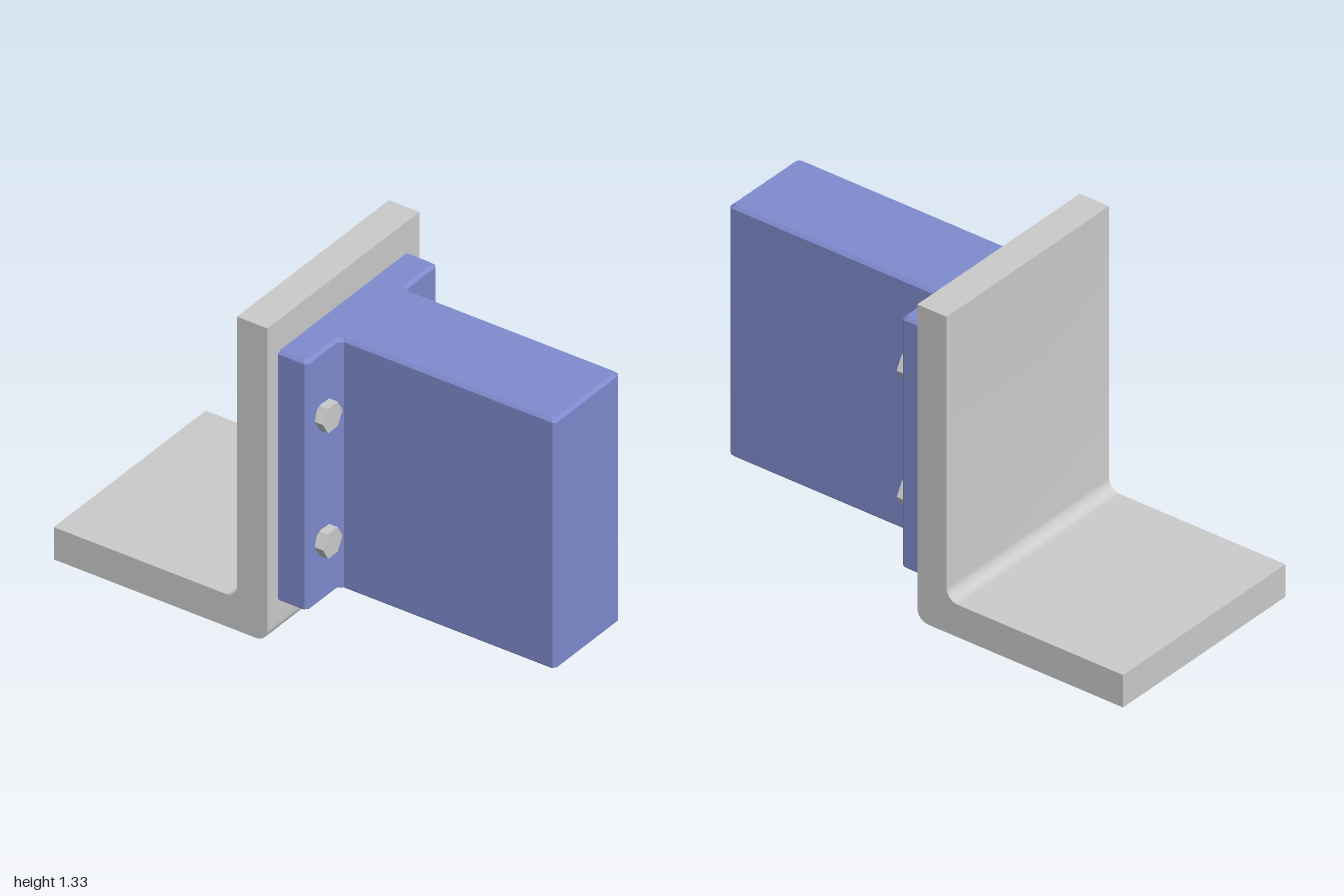
import * as THREE from 'three';
import { mergeGeometries, toCreasedNormals } from 'three/addons/utils/BufferGeometryUtils.js';

const grey = new THREE.MeshStandardMaterial({ color: 0xcccccc });
const greyFlat = new THREE.MeshStandardMaterial({ color: 0xcccccc, flatShading: true });
const blue = new THREE.MeshStandardMaterial({ color: 0x7f8bce });

// T-shaped outline in (x, z), counter-clockwise, with chamfered corners
function tOutline(inset) {
  const c = 0.012, fillet = 0.019;
  const f = 0.4 - inset, n = 0.2 - inset, front = 1 - inset, step = 0.06 - inset;
  const half = [
    [f, -0.067], [f, step - c], [f - c, step],
    [n + fillet, step], [n, step + fillet],
    [n, front - c], [n - c, front],
  ];
  return [...half, ...half.slice().reverse().map(([x, z]) => [-x, z])];
}

// Flat-sided wall between two horizontal outlines
function wall(lower, y0, upper, y1) {
  const pos = [];
  lower.forEach((p, i) => {
    const j = (i + 1) % lower.length;
    const a = [p[0], y0, p[1]], b = [lower[j][0], y0, lower[j][1]];
    const c = [upper[j][0], y1, upper[j][1]], d = [upper[i][0], y1, upper[i][1]];
    pos.push(...a, ...d, ...b, ...b, ...d, ...c);
  });
  const g = new THREE.BufferGeometry();
  g.setAttribute('position', new THREE.Float32BufferAttribute(pos, 3));
  g.computeVertexNormals();
  return g;
}

// Horizontal face at height y, facing up (dir 1) or down (dir -1)
function cap(outline, y, dir, hole) {
  const points = (o) => o.map(([x, z]) => new THREE.Vector2(x, -dir * z));
  const shape = new THREE.Shape(points(outline));
  if (hole) shape.holes.push(new THREE.Path(points(hole)));
  const g = new THREE.ShapeGeometry(shape).toNonIndexed();
  g.deleteAttribute('uv');
  return g.rotateX(-dir * Math.PI / 2).translate(0, y, 0);
}

// T block with chamfered rims and a rectangular pocket in its underside
function blockGeometry() {
  const y0 = 0.137, y1 = 1.2, c = 0.012, pocketTop = 0.85;
  const full = tOutline(0), small = tOutline(c);
  const pocket = [[-0.148, 0.36], [-0.148, 0.597], [0.148, 0.597], [0.148, 0.36]];
  return mergeGeometries([
    cap(small, y0, -1, pocket),
    wall(small, y0, full, y0 + c),
    wall(full, y0 + c, full, y1 - c),
    wall(full, y1 - c, small, y1),
    cap(small, y1, 1),
    wall(pocket, y0, pocket, pocketTop),
    cap(pocket, pocketTop, -1),
  ]);
}

// L bracket with rounded inner and outer bend, extruded across x
function bracketGeometry() {
  const width = 0.933, r = 0.05, front = 0.067, back = 0.2, foot = 0.137;
  const s = new THREE.Shape();
  s.moveTo(front + r, 0);
  s.lineTo(1, 0);
  s.lineTo(1, foot);
  s.lineTo(back + r, foot);
  s.absarc(back + r, foot + r, r, -Math.PI / 2, -Math.PI, true);
  s.lineTo(back, 1.333);
  s.lineTo(front, 1.333);
  s.lineTo(front, r);
  s.absarc(front + r, r, r, Math.PI, Math.PI * 1.5, false);
  const g = new THREE.ExtrudeGeometry(s, { depth: width, bevelEnabled: false, curveSegments: 10 });
  g.translate(0, 0, -width / 2).rotateY(Math.PI / 2);
  return toCreasedNormals(g, 0.6);
}

// Hexagonal bolt head on a round collar, axis along z
function createBolt(x, y) {
  const bolt = new THREE.Group();
  bolt.name = 'bolt';
  const head = new THREE.Mesh(
    new THREE.CylinderGeometry(0.06, 0.06, 0.037, 6).rotateX(Math.PI / 2).rotateZ(Math.PI / 2), greyFlat);
  head.name = 'boltHead';
  head.position.z = 0.087;
  const collar = new THREE.Mesh(
    new THREE.CylinderGeometry(0.045, 0.045, 0.02, 24).rotateX(Math.PI / 2), grey);
  collar.name = 'boltCollar';
  collar.position.z = 0.06;
  bolt.add(head, collar);
  bolt.position.set(x, y, 0);
  return bolt;
}

export function createModel() {
  const model = new THREE.Group();
  model.name = 'mountedBlock';

  const bracket = new THREE.Mesh(bracketGeometry(), grey);
  bracket.name = 'angleBracket';
  const block = new THREE.Mesh(blockGeometry(), blue);
  block.name = 'flangedBlock';
  model.add(bracket, block);

  for (const x of [-0.307, 0.307]) {
    for (const y of [0.402, 0.935]) model.add(createBolt(x, y));
  }
  return model;
}
